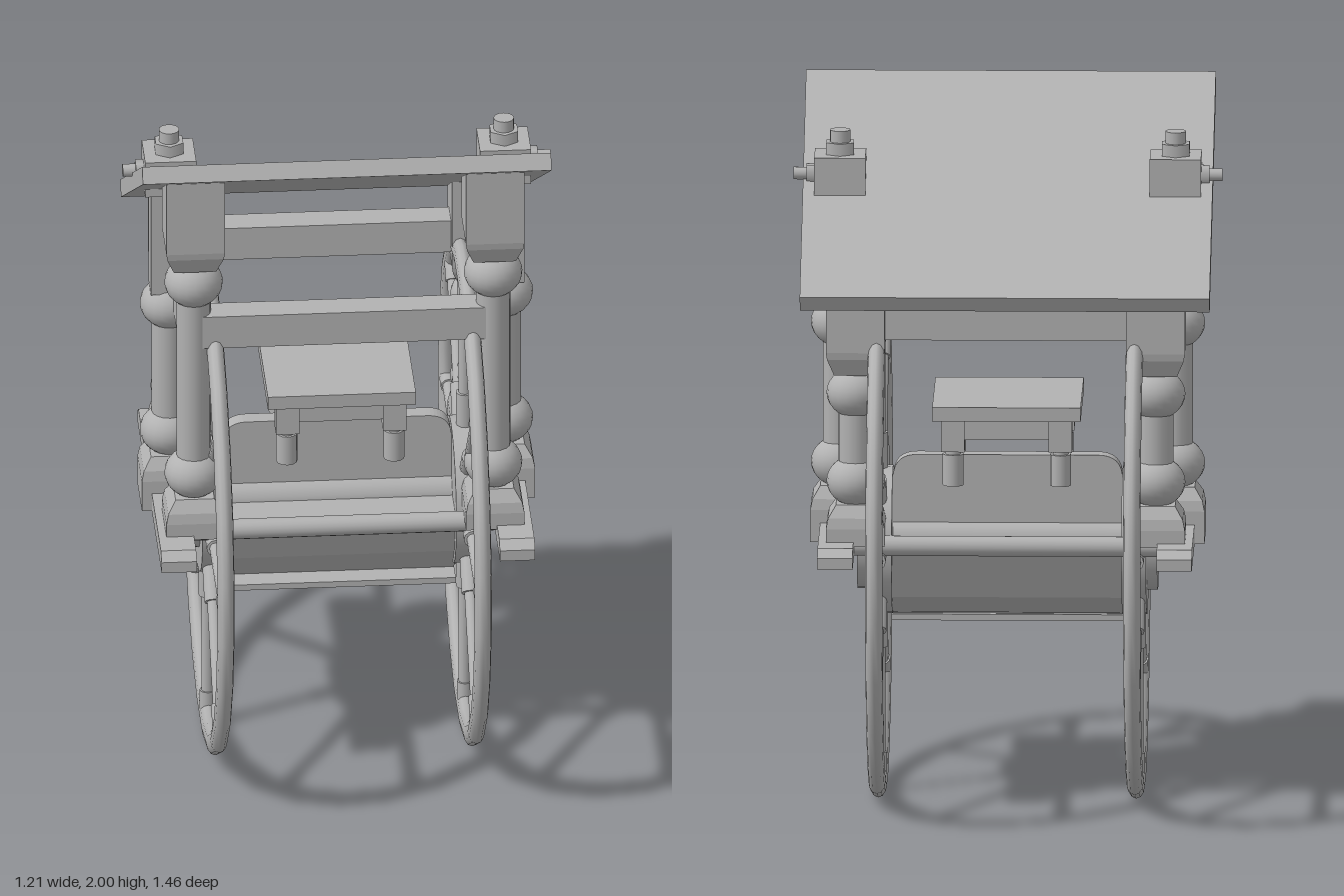
import * as THREE from 'three';

const grey = new THREE.MeshStandardMaterial({ color: 0xb2b2b2 });
grey.name = 'plain grey';

function add(parent, geo, name, x = 0, y = 0, z = 0) {
  const m = new THREE.Mesh(geo, grey);
  m.name = name;
  m.position.set(x, y, z);
  parent.add(m);
  return m;
}
const box = (w, h, d) => new THREE.BoxGeometry(w, h, d);
const rod = (r, h, n = 16) => new THREE.CylinderGeometry(r, r, h, n);

function group(parent, name) {
  const g = new THREE.Group();
  g.name = name;
  parent.add(g);
  return g;
}

// Square-section solid from [halfWidth, y] pairs, bottom to top, with flat faces
function squareLoft(profile, topAt) {
  const pts = profile.map(([h, y]) => new THREE.Vector2(h * Math.SQRT2, y));
  const last = profile[profile.length - 1][1];
  const lid = [new THREE.Vector2(0, profile[0][1]), ...pts, new THREE.Vector2(0, last)];
  let geo = new THREE.LatheGeometry(lid, 4, Math.PI / 4);
  if (topAt) {
    const p = geo.attributes.position;
    for (let i = 0; i < p.count; i++) {
      if (p.getY(i) > last - 1e-4) p.setY(i, topAt(p.getZ(i)));
    }
  }
  geo = geo.toNonIndexed();
  geo.computeVertexNormals();
  return geo;
}

// Extrude a (z, y) outline along x, centred
function sideExtrude(points, width) {
  const s = new THREE.Shape(points.map(([z, y]) => new THREE.Vector2(-z, y)));
  const g = new THREE.ExtrudeGeometry(s, { depth: width, bevelEnabled: false });
  g.translate(0, 0, -width / 2);
  return g.rotateY(Math.PI / 2);
}

const roofUnder = z => 1.725 + z * 0.575; // underside height of the sloping roof

// Turned post: foot, ball, shaft, ball
function turnedPost(parent, name, x, z, ballY, footBottom) {
  const g = group(parent, name);
  g.position.set(x, 0, z);
  add(g, squareLoft([[0.083, footBottom], [0.083, 0.83], [0.077, 0.86], [0.055, 0.895]]), 'foot');
  add(g, rod(0.049, ballY - 0.92), 'shaft', 0, (ballY + 0.92) / 2);
  for (const y of [0.955, ballY]) {
    add(g, new THREE.SphereGeometry(0.083, 20, 14), 'ball', 0, y).scale.y = 0.87;
  }
  return g;
}

function wheel(parent, side) {
  const g = group(parent, side > 0 ? 'leftWheel' : 'rightWheel');
  g.position.set(side * 0.365, 0.73, 0);
  const rim = new THREE.TorusGeometry(0.697, 0.037, 12, 24);
  rim.rotateZ(Math.PI / 24);
  rim.scale(1, 1, 0.66);
  add(g, rim.rotateY(Math.PI / 2), 'rim');
  for (let i = 0; i < 8; i++) {
    const s = group(g, 'spoke');
    s.rotation.x = i * Math.PI / 4;
    add(s, rod(0.018, 0.5, 12), 'spokeRod', 0, 0.43);
    add(s, rod(0.026, 0.15, 12), 'innerSocket', 0, 0.235);
    add(s, rod(0.023, 0.06, 12), 'outerSocket', 0, 0.645);
  }
  add(g, rod(0.21, 0.07, 32).rotateZ(Math.PI / 2), 'hubDisc', side * -0.005);
  add(g, rod(0.14, 0.06, 28).rotateZ(Math.PI / 2), 'hubCap', side * 0.03);
}

export function createModel() {
  const model = new THREE.Group();
  model.name = 'twoWheeledCart';

  // Sloping roof board
  add(model, box(1.16, 0.05, 0.965), 'roof', 0, 1.741, -0.014).rotation.x = -Math.PI / 6;

  for (const side of [-1, 1]) {
    wheel(model, side);

    // Side rail with tapered ends
    const rail = sideExtrude([[-0.46, 0.737], [0.46, 0.737], [0.46, 0.77], [0.43, 0.792],
      [-0.43, 0.792], [-0.46, 0.77]], 0.1);
    add(model, rail, 'sideRail', side * 0.48);

    // Corner posts with blocks cut to the roof slope
    for (const [z, ballY, name] of [[0.265, 1.565, 'frontPost'], [-0.265, 1.21, 'backPost']]) {
      const post = turnedPost(model, name, side * 0.425, z, ballY, 0.78);
      const b = ballY + 0.06;
      const block = squareLoft([[0.06, b], [0.08, b + 0.05], [0.083, b + 0.07], [0.083, b + 0.2]],
        dz => roofUnder(z + dz) + 0.01);
      add(post, block, 'postBlock');
    }

    // Middle post, passing through the roof and bolted
    const mid = turnedPost(model, 'middlePost', side * 0.475, 0, 1.36, 0.737);
    add(mid, box(0.11, 0.34, 0.1), 'postNeck', 0, 1.58);
    add(mid, box(0.145, 0.11, 0.14), 'postCap', 0, 1.79);
    add(mid, rod(0.045, 0.035, 6), 'topNut', 0, 1.862);
    add(mid, rod(0.029, 0.035), 'topBolt', 0, 1.896);
    add(mid, rod(0.03, 0.025, 6).rotateZ(Math.PI / 2), 'sideNut', side * 0.083, 1.787);
    add(mid, rod(0.018, 0.06).rotateZ(Math.PI / 2), 'sideBolt', side * 0.102, 1.787);

    // Upper side bar between the corner posts
    add(model, box(0.085, 0.1, 0.53), 'upperSideBar', side * 0.425, 1.42, 0);
  }

  // Upper and lower cross bars, front and back
  for (const z of [-0.265, 0.265]) {
    add(model, box(0.85, 0.1, 0.085), 'upperCrossBar', 0, 1.42, z);
    add(model, rod(0.029, 0.9).rotateZ(Math.PI / 2), 'lowerCrossBar', 0, 0.766, z);
  }

  // Axle and trough body between the hubs
  add(model, rod(0.06, 0.7).rotateZ(Math.PI / 2), 'axle', 0, 0.73, 0);
  const trough = [[0.19, 0.74], [0.13, 0.6], [0.05, 0.505], [-0.05, 0.53], [-0.13, 0.59], [-0.19, 0.74]];
  add(model, sideExtrude(trough, 0.66), 'troughBody');
  add(model, box(0.66, 0.018, 0.1), 'footLedge', 0, 0.5, 0.07);

  // Upright panel with rounded top corners
  const w = 0.325, top = 0.98, r = 0.07;
  const panel = new THREE.Shape();
  panel.moveTo(-w, 0.7);
  panel.lineTo(w, 0.7);
  panel.lineTo(w, top - r);
  panel.quadraticCurveTo(w, top, w - r, top);
  panel.lineTo(-w + r, top);
  panel.quadraticCurveTo(-w, top, -w, top - r);
  add(model, new THREE.ExtrudeGeometry(panel, { depth: 0.05, bevelEnabled: false }),
    'uprightPanel', 0, 0, -0.025);

  // Seat with four turned legs
  const seat = group(model, 'seat');
  add(seat, box(0.42, 0.04, 0.42), 'seatTop', 0, 1.135, 0);
  for (const s of [-1, 1]) {
    add(seat, box(0.3, 0.06, 0.045), 'apron', 0, 1.085, s * 0.155);
    add(seat, box(0.045, 0.06, 0.3), 'apron', s * 0.155, 1.085, 0);
    add(seat, box(0.035, 0.05, 0.3), 'stretcher', s * 0.152, 0.96, 0);
    for (const t of [-1, 1]) {
      add(seat, box(0.066, 0.095, 0.066), 'legBlock', s * 0.152, 1.068, t * 0.152);
      add(seat, rod(0.022, 0.05, 12), 'legNeck', s * 0.152, 1.005, t * 0.152);
      add(seat, rod(0.03, 0.09, 12), 'legFoot', s * 0.152, 0.965, t * 0.152);
    }
  }
  return model;
}
